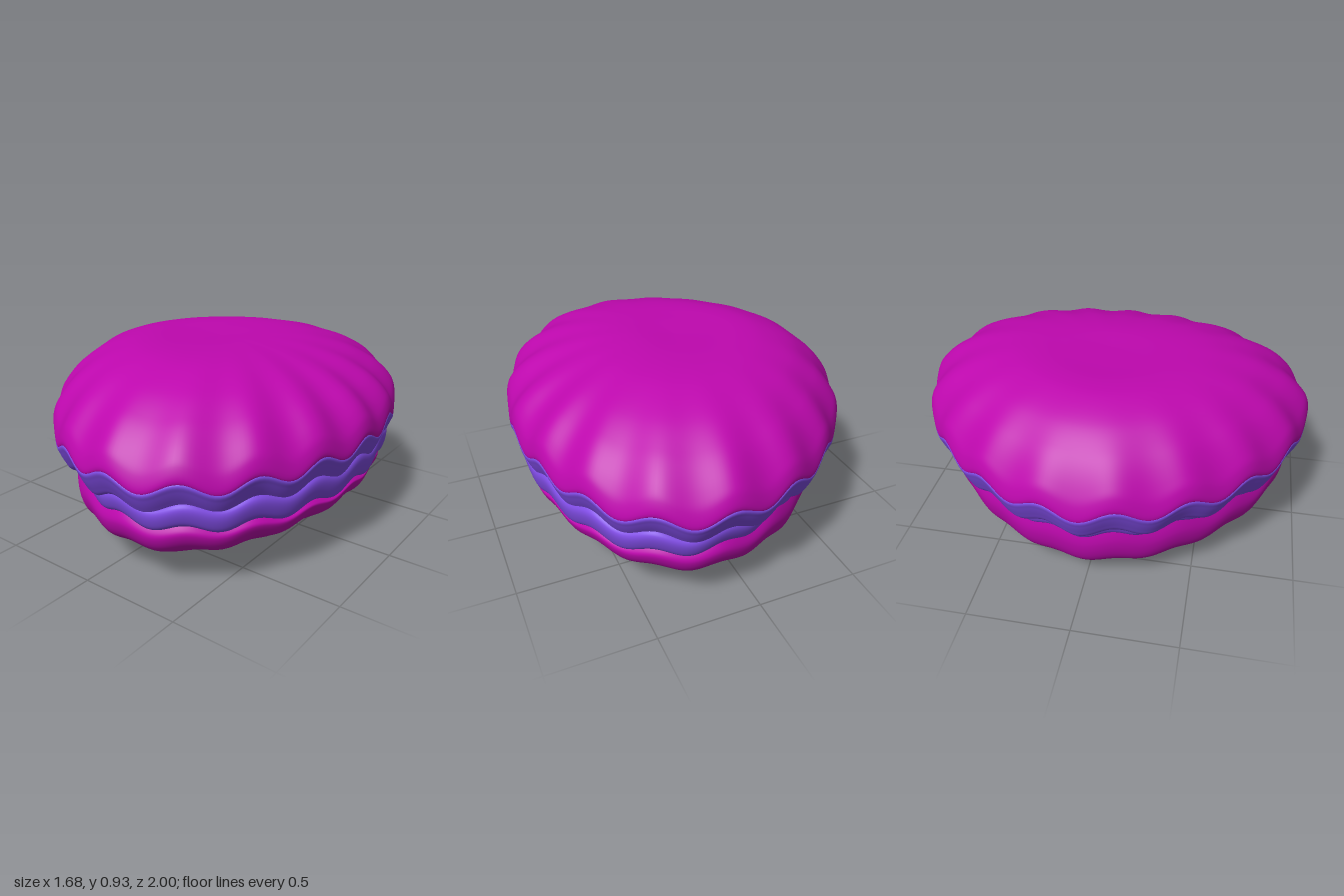
import * as THREE from 'three';

const SHELL = 0xbe08ae, FRILL = 0x804ce4;
const SEGMENTS = 272, LOBES = 17;

// Half of the plan outline (x, z); the other half is mirrored in z
const half = [[0.84, 0], [0.815, 0.25], [0.75, 0.5], [0.605, 0.77], [0.41, 0.94], [0.17, 1],
  [-0.18, 0.915], [-0.42, 0.765], [-0.66, 0.51], [-0.79, 0.26], [-0.84, 0]];
const mirrored = half.slice(1, -1).reverse().map(([x, z]) => [x, -z]);
const outline = new THREE.CatmullRomCurve3(
  [...half, ...mirrored].map(([x, z]) => new THREE.Vector3(x, 0, z)), true
).getSpacedPoints(SEGMENTS).slice(0, SEGMENTS);

// Scales the outline along a profile of [scale, y on the +x side, y on the -x side],
// listed from the top down, and adds the scalloped wave; pinch narrows the -x side
function loft(name, color, profile, { steps, amp, blend = 1, fade = 0, cx = 0, sx = 1, sz = 1, pinch = 0 }) {
  const curve = new THREE.CatmullRomCurve3(profile.map(p => new THREE.Vector3(...p)), false, 'centripetal');
  const rings = curve.getPoints(steps);
  const pos = [], index = [];
  rings.forEach((p, i) => {
    const s = Math.max(0, p.x);
    outline.forEach((o, j) => {
      const m = (1 - Math.cos(Math.atan2(o.z, o.x))) / 2;
      const wave = Math.cos(2 * Math.PI * LOBES * j / SEGMENTS);
      const rib = amp * wave * Math.pow(s, fade * (1 + m));
      const y = THREE.MathUtils.lerp(p.y, p.z, Math.pow(m, blend)) + rib;
      pos.push(cx + o.x * s * sx, y, o.z * s * sz * (1 - pinch * m * m));
      if (i === rings.length - 1) return;
      const k = (j + 1) % SEGMENTS;
      const A = i * SEGMENTS + j, B = i * SEGMENTS + k;
      index.push(A, B, A + SEGMENTS, B, B + SEGMENTS, A + SEGMENTS);
    });
  });
  const geo = new THREE.BufferGeometry();
  geo.setAttribute('position', new THREE.Float32BufferAttribute(pos, 3));
  geo.setIndex(index);
  geo.computeVertexNormals();
  const mesh = new THREE.Mesh(geo, new THREE.MeshStandardMaterial({ color, side: THREE.DoubleSide }));
  mesh.name = name;
  return mesh;
}

export function createModel() {
  const group = new THREE.Group();
  group.name = 'clam';

  // Domed upper shell, ending in a scalloped rim turned slightly inwards
  group.add(loft('upperShell', SHELL, [
    [0, 0.925, 0.925], [0.24, 0.928, 0.928], [0.42, 0.91, 0.93], [0.54, 0.885, 0.918], [0.71, 0.83, 0.87],
    [0.83, 0.77, 0.8], [0.89, 0.73, 0.75], [0.95, 0.675, 0.68], [0.987, 0.62, 0.62], [1, 0.55, 0.55],
    [0.98, 0.535, 0.535],
  ], { steps: 60, amp: 0.03, blend: 0.6, fade: 4.5 }));

  // Upper frill, closed underneath
  group.add(loft('upperFrill', FRILL, [
    [0.985, 0.56, 0.56], [1.001, 0.543, 0.543], [0.99, 0.51, 0.51], [0.965, 0.46, 0.46],
    [0.94, 0.425, 0.42], [0.91, 0.415, 0.4], [0.85, 0.43, 0.42], [0, 0.44, 0.43],
  ], { steps: 44, amp: 0.028, fade: 1 }));

  // Lower frill, tucked in towards the -x side
  group.add(loft('lowerFrill', FRILL, [
    [0.88, 0.47, 0.45], [0.97, 0.465, 0.44], [1, 0.44, 0.42], [0.995, 0.38, 0.385],
    [0.97, 0.335, 0.355], [0.92, 0.325, 0.345], [0.8, 0.34, 0.37],
  ], { steps: 36, amp: 0.018, cx: 0.025, sx: 0.935, sz: 0.97, pinch: 0.14 }));

  // Lower shell: low cap on top, lip rising towards -x and ribbed bowl below
  group.add(loft('lowerShell', SHELL, [
    [0, 0.36, 0.43], [0.8, 0.345, 0.435], [0.92, 0.335, 0.43], [0.965, 0.325, 0.41], [0.99, 0.315, 0.355],
    [1, 0.3, 0.27], [0.96, 0.245, 0.16], [0.85, 0.18, 0.08], [0.76, 0.13, 0.04], [0.64, 0.08, 0.01],
    [0.49, 0.035, 0.003], [0.3, 0.012, 0.012], [0.17, 0.017, 0.02], [0, 0.025, 0.025],
  ], { steps: 76, amp: 0.012, fade: 2, cx: 0.03, sx: 0.893, sz: 0.925 }));

  return group;
}
